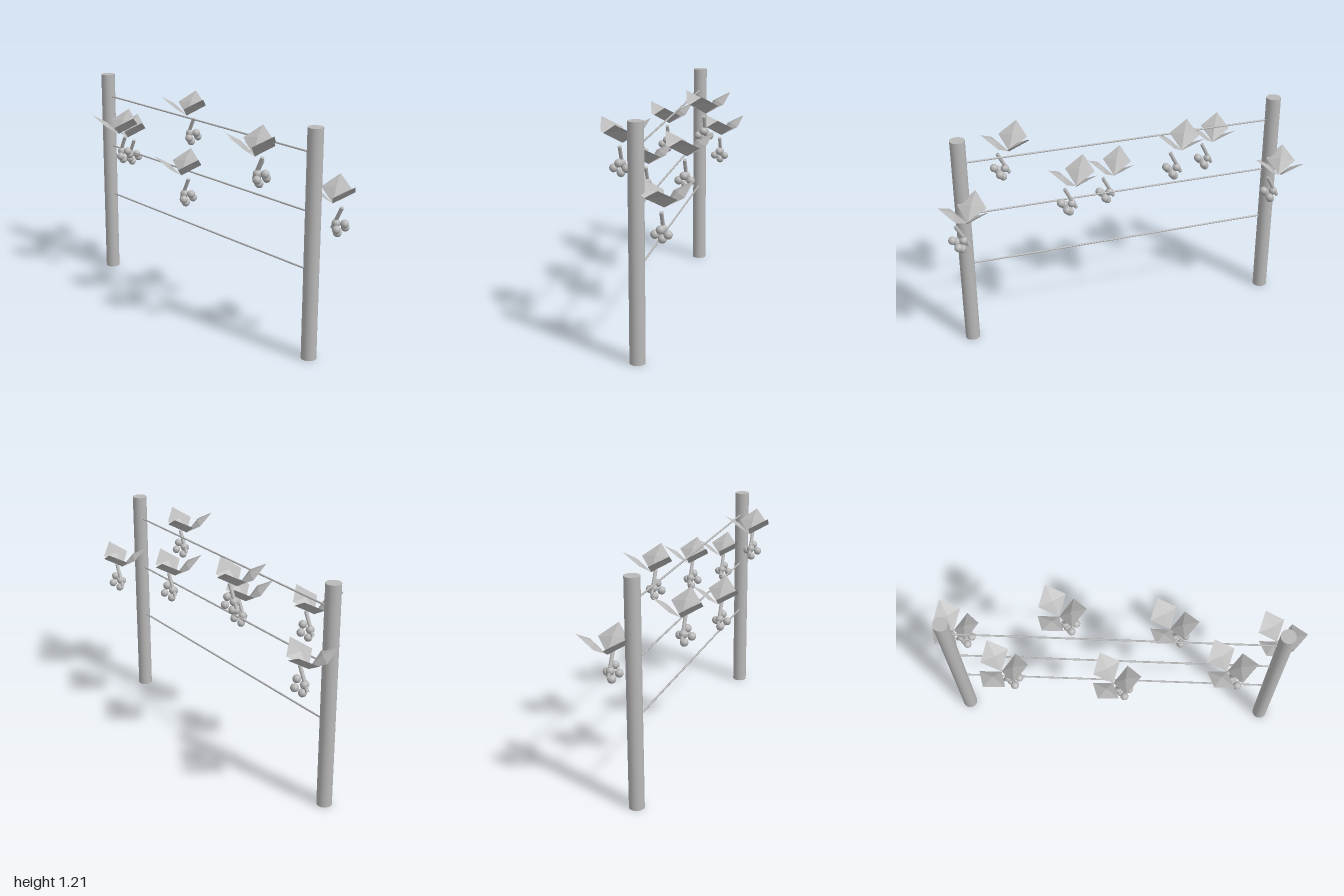
import * as THREE from 'three';

const grey = new THREE.MeshStandardMaterial({ color: 0xb8b8b8 });
grey.name = 'plain grey';
const leafGrey = new THREE.MeshStandardMaterial({ color: 0xb8b8b8, side: THREE.DoubleSide, flatShading: true });
leafGrey.name = 'leaf grey';

const LEFT = 0.85, RIGHT = -0.895, HEIGHT = 1.21;

function addMesh(parent, name, geometry, material, x = 0, y = 0, z = 0) {
  const mesh = new THREE.Mesh(geometry, material);
  mesh.name = name;
  mesh.position.set(x, y, z);
  parent.add(mesh);
  return mesh;
}

// Straight round bar between two points
function addRod(parent, name, a, b, radius, sides) {
  const dir = b.clone().sub(a);
  const rod = addMesh(parent, name, new THREE.CylinderGeometry(radius, radius, dir.length(), sides), grey);
  rod.position.copy(a).add(b).multiplyScalar(0.5);
  rod.quaternion.setFromUnitVectors(new THREE.Vector3(0, 1, 0), dir.normalize());
}

// Four-cornered leaf rising outwards along +x, with a raised centre
function makeLeafGeometry() {
  const base = [0, 0, 0], tip = [0.148, 0.117, 0];
  const front = [0.074, 0.06, 0.08], back = [0.074, 0.06, -0.08];
  const middle = [0.065, 0.071, 0];
  const rim = [base, front, tip, back];
  const points = rim.flatMap((p, i) => [...middle, ...p, ...rim[(i + 1) % 4]]);
  const geometry = new THREE.BufferGeometry();
  geometry.setAttribute('position', new THREE.Float32BufferAttribute(points, 3));
  geometry.computeVertexNormals();
  return geometry;
}

const leafGeometry = makeLeafGeometry();
const grapeGeometry = new THREE.SphereGeometry(0.022, 14, 10);
const grapeSpots = [
  [0.086, -0.085, 0], [0.062, -0.115, 0.032], [0.062, -0.115, -0.032],
  [0.04, -0.143, 0], [0.028, -0.095, 0],
];

// Three leaves, a slanted stem and a bunch of grapes
function makeVine() {
  const vine = new THREE.Group();
  vine.name = 'vine';
  for (let i = 0; i < 3; i++) {
    addMesh(vine, 'leaf', leafGeometry, leafGrey).rotation.y = (i * Math.PI * 2) / 3;
  }
  addRod(vine, 'stem', new THREE.Vector3(0.065, -0.005, 0), new THREE.Vector3(0.003, -0.125, 0), 0.01, 10);
  for (const [x, y, z] of grapeSpots) addMesh(vine, 'grape', grapeGeometry, grey, x, y, z);
  return vine;
}

export function createModel() {
  const model = new THREE.Group();
  model.name = 'vineTrellis';

  // Posts
  for (const x of [RIGHT, LEFT]) {
    addMesh(model, 'post', new THREE.CylinderGeometry(0.04, 0.04, HEIGHT, 24), grey, x, HEIGHT / 2, 0);
  }

  // Wires
  for (const y of [0.475, 0.778, 1.08]) {
    addRod(model, 'wire', new THREE.Vector3(RIGHT, y, 0), new THREE.Vector3(LEFT, y, 0), 0.005, 8);
  }

  // Vines alternate behind and in front of the wires, in three heights
  for (let i = 0; i < 7; i++) {
    const vine = makeVine();
    vine.position.set(RIGHT + ((LEFT - RIGHT) * i) / 6, 0.8 + 0.12 * (i % 3), i % 2 ? 0.135 : -0.135);
    model.add(vine);
  }
  return model;
}
